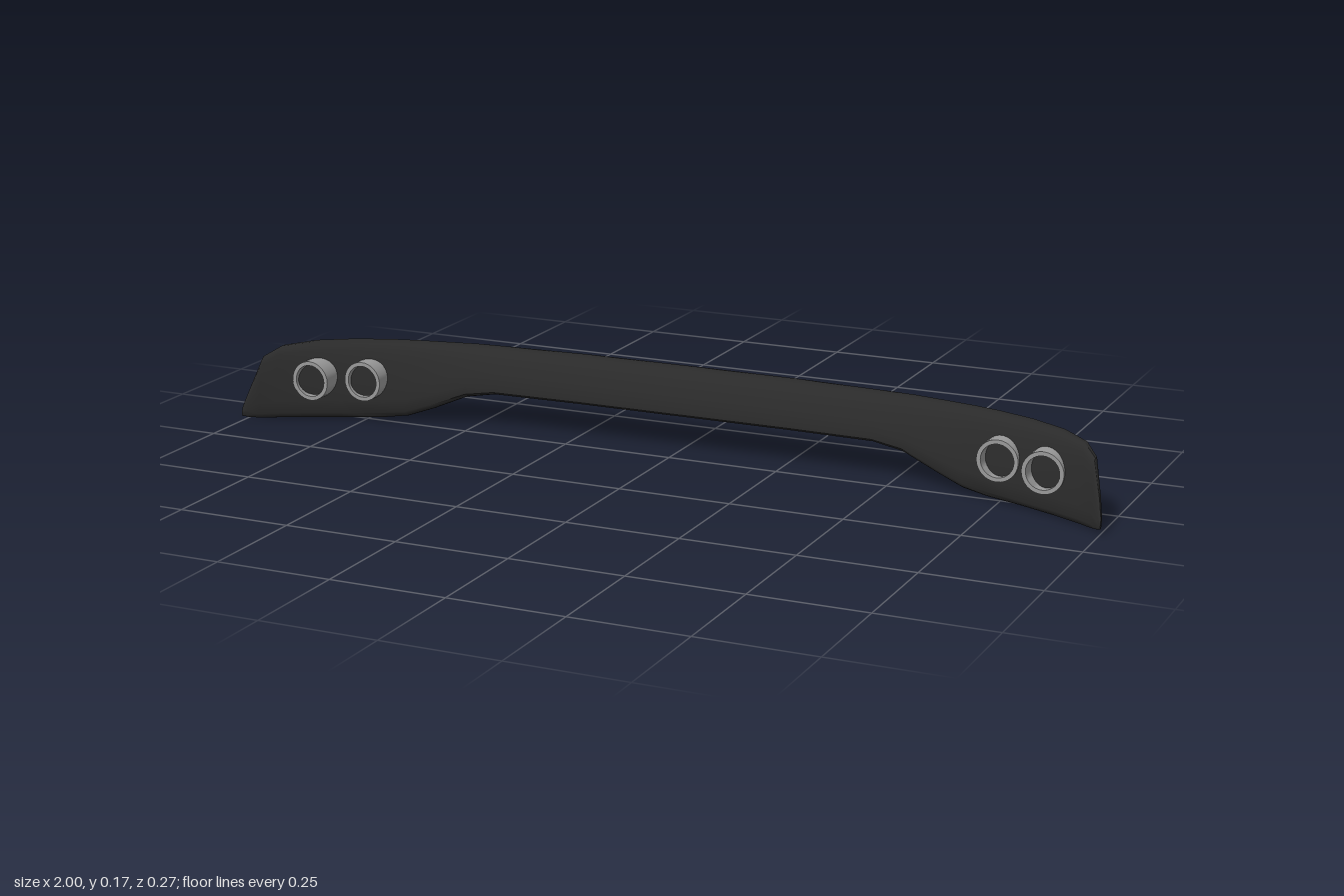
import * as THREE from 'three';
import { toCreasedNormals } from 'three/addons/utils/BufferGeometryUtils.js';

// Half of the bar from the middle outwards: x, back z, front z, bottom y, top y
const STATIONS = [
  [0, -0.133, -0.045, 0.08, 0.178],
  [0.25, -0.131, -0.045, 0.08, 0.178],
  [0.45, -0.122, -0.04, 0.08, 0.177],
  [0.52, -0.117, -0.035, 0.068, 0.177],
  [0.6, -0.105, -0.025, 0.034, 0.176],
  [0.66, -0.093, -0.012, 0.013, 0.176],
  [0.72, -0.077, 0.005, 0.006, 0.176],
  [0.8, -0.05, 0.03, 0.004, 0.175],
  [0.88, -0.012, 0.062, 0.003, 0.172],
  [0.94, 0.032, 0.09, 0.003, 0.164],
  [0.97, 0.066, 0.108, 0.004, 0.144],
  [0.99, 0.1, 0.125, 0.009, 0.075],
  [1, 0.122, 0.134, 0.014, 0.036],
];

// Leaning visor section: u runs back to front, v bottom to top
const SECTION = [
  [0.12, 1], [0, 0.86], [0.1, 0.48], [0.35, 0.1],
  [0.78, 0], [1, 0.08], [0.78, 0.68], [0.5, 0.97],
];

function bodyGeometry() {
  const curve = new THREE.CatmullRomCurve3(
    SECTION.map(([u, v]) => new THREE.Vector3(u, v, 0)), true, 'centripetal');
  const ring = curve.getPoints(24).slice(0, -1);
  const n = ring.length;
  const left = STATIONS.slice(1).reverse().map(([x, ...rest]) => [-x, ...rest]);
  const stations = [...left, ...STATIONS];
  const pos = [];
  const index = [];
  for (const [x, zb, zf, y0, y1] of stations) {
    for (const p of ring) {
      pos.push(x,
        y0 + (y1 - y0) * THREE.MathUtils.clamp(p.y, 0, 1),
        zb + (zf - zb) * THREE.MathUtils.clamp(p.x, 0, 1));
    }
  }
  for (let i = 0; i < stations.length - 1; i++) {
    for (let j = 0; j < n; j++) {
      const k = (j + 1) % n;
      const a = i * n + j, b = i * n + k;
      index.push(a, a + n, b, b, a + n, b + n);
    }
  }
  // Close both tips
  const last = (stations.length - 1) * n;
  for (let j = 1; j < n - 1; j++) {
    index.push(0, j, j + 1);
    index.push(last, last + j + 1, last + j);
  }
  const geo = new THREE.BufferGeometry();
  geo.setAttribute('position', new THREE.Float32BufferAttribute(pos, 3));
  geo.setIndex(index);
  return toCreasedNormals(geo, 0.7);
}

// Open ring housing along z, with its back end cut at a slant
function lampGeometry(back, front, slope) {
  const outer = 0.045, inner = 0.036;
  const profile = [[outer, back], [outer, front], [inner, front], [inner, back], [outer, back]]
    .map(([r, y]) => new THREE.Vector2(r, y));
  const geo = new THREE.LatheGeometry(profile, 32);
  geo.rotateX(Math.PI / 2);
  const p = geo.attributes.position;
  for (let i = 0; i < p.count; i++) {
    if (p.getZ(i) < (back + front) / 2) p.setZ(i, back + slope * p.getX(i));
  }
  return toCreasedNormals(geo, 0.6);
}

export function createModel() {
  const group = new THREE.Group();
  const black = new THREE.MeshStandardMaterial({ color: 0x2a2a2a });
  black.name = 'matte black';
  const grey = new THREE.MeshStandardMaterial({ color: 0x999999 });
  grey.name = 'light grey';

  function add(name, geo, mat) {
    const mesh = new THREE.Mesh(geo, mat);
    mesh.name = name;
    group.add(mesh);
    return mesh;
  }

  add('curvedBar', bodyGeometry(), black);

  // Two ring lamps at each end
  for (const side of [1, -1]) {
    const label = side > 0 ? 'left' : 'right';
    add(label + 'InnerLampRing', lampGeometry(-0.077, 0.025, 0.4 * side), grey)
      .position.set(0.748 * side, 0.095, 0);
    add(label + 'OuterLampRing', lampGeometry(-0.046, 0.068, 0.42 * side), grey)
      .position.set(0.858 * side, 0.095, 0);
  }

  // Thin strip along the back, following the bar
  const path = new THREE.CatmullRomCurve3(
    [[-0.53, -0.11], [-0.3, -0.12], [0, -0.123], [0.3, -0.12], [0.53, -0.11]]
      .map(([x, z]) => new THREE.Vector3(x, 0.126, z)));
  add('rearStrip', new THREE.TubeGeometry(path, 24, 0.01, 10), grey);
  for (const side of [1, -1]) {
    const cap = add('rearStripEnd', new THREE.SphereGeometry(0.01, 10, 8), grey);
    cap.position.set(0.53 * side, 0.126, -0.11);
  }
  return group;
}
